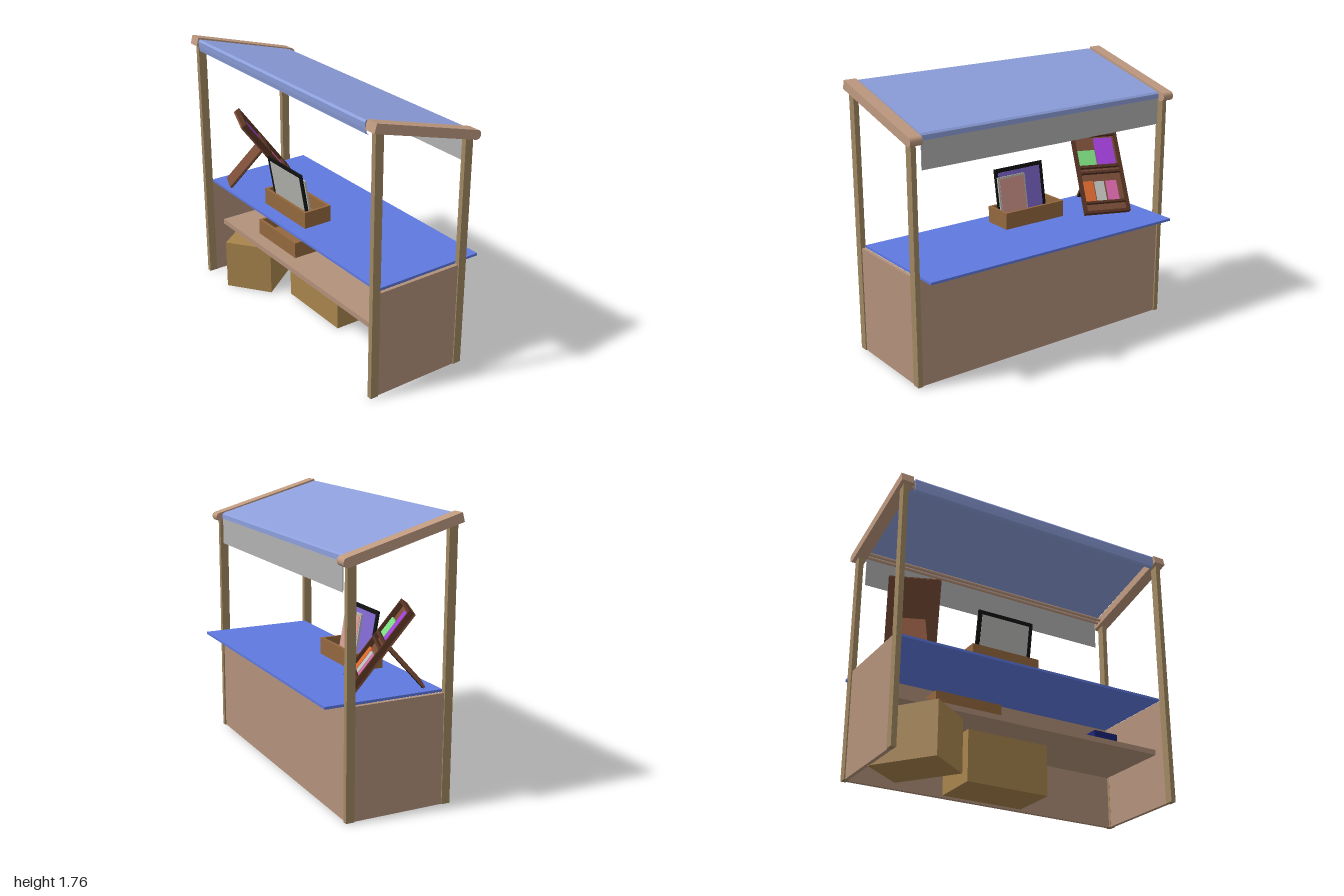
import * as THREE from 'three';

const material = (color, side = THREE.FrontSide) => {
  const m = new THREE.MeshStandardMaterial({ side });
  m.color.set(color);
  return m;
};
const M = {
  panel: material(0xb3927b), post: material(0xa08762), beam: material(0xbf9a80),
  counter: material(0x5f79e0), canopy: material(0x8c9edb, THREE.DoubleSide),
  valance: material(0xb2b2b2, THREE.DoubleSide), card: material(0xa8844c),
  tray: material(0x94683f), rack: material(0x7a4c36), rackDark: material(0x553222),
  black: material(0x111111), grey: material(0xb8b8b4), pink: material(0xd69a90),
  purple: material(0x8068d0), navy: material(0x1c2478),
};

function add(parent, name, geometry, mat, x = 0, y = 0, z = 0) {
  const mesh = new THREE.Mesh(geometry, mat);
  mesh.name = name;
  mesh.position.set(x, y, z);
  parent.add(mesh);
  return mesh;
}

// Box given by its lower and upper limits on each axis
function block(parent, name, mat, [x0, x1], [y0, y1], [z0, z1]) {
  return add(parent, name, new THREE.BoxGeometry(x1 - x0, y1 - y0, z1 - z0), mat,
    (x0 + x1) / 2, (y0 + y1) / 2, (z0 + z1) / 2);
}

function subgroup(parent, name, x = 0, y = 0, z = 0) {
  const g = new THREE.Group();
  g.name = name;
  g.position.set(x, y, z);
  parent.add(g);
  return g;
}

// Open-topped box standing on its origin
function openBox(parent, name, mat, w, h, d, t, x, y, z) {
  const g = subgroup(parent, name, x, y, z);
  block(g, 'base', mat, [-w / 2, w / 2], [0, t], [-d / 2, d / 2]);
  for (const s of [-1, 1]) {
    add(g, 'longWall', new THREE.BoxGeometry(t, h, d), mat, s * (w - t) / 2, h / 2, 0);
    add(g, 'endWall', new THREE.BoxGeometry(w - 2 * t, h, t), mat, 0, h / 2, s * (d - t) / 2);
  }
  return g;
}

function extrudeZ(shape, depth) {
  return new THREE.ExtrudeGeometry(shape, { depth, bevelEnabled: false, curveSegments: 10 })
    .translate(0, 0, -depth / 2);
}

function addFrame(stall) {
  // Sloping roof beam with a rounded front end
  const r = 0.029, beam = new THREE.Shape();
  beam.moveTo(0, -r);
  beam.lineTo(0.755, -r);
  beam.absarc(0.755, 0, r, -Math.PI / 2, Math.PI / 2, false);
  beam.lineTo(0, r);
  beam.closePath();
  for (const s of [-1, 1]) {
    const z = [s * 0.96 - 0.0165, s * 0.96 + 0.0165];
    block(stall, 'backPost', M.post, [-0.4, -0.345], [0.003, 1.7], z);
    block(stall, 'frontPost', M.post, [0.245, 0.3], [0.003, 1.51], z);
    add(stall, 'roofBeam', extrudeZ(beam, 0.082), M.beam, -0.42, 1.73, s * 0.959)
      .rotation.z = -0.269;
    block(stall, 'sidePanel', M.panel, [-0.345, 0.245], [0.003, 0.7], [s * 0.957 - 0.012, s * 0.957 + 0.012]);
  }
  block(stall, 'frontPanel', M.panel, [0.265, 0.29], [0.003, 0.7], [-0.945, 0.945]);
  block(stall, 'shelf', M.panel, [-0.27, 0.265], [0.35, 0.385], [-0.945, 0.945]);
  block(stall, 'counterTop', M.counter, [-0.345, 0.42], [0.7, 0.716], [-0.943, 0.943]);
}

function addCanopy(stall) {
  // Cloth with a short flap over the back edge and a roll at the front
  const outline = [[-0.395, 1.66], [-0.413, 1.67], [-0.418, 1.7], [-0.42, 1.735], [-0.41, 1.748],
    [0.285, 1.561], [0.298, 1.55], [0.299, 1.52], [0.293, 1.52], [0.292, 1.546], [0.283, 1.553],
    [-0.406, 1.738], [-0.412, 1.73], [-0.41, 1.7], [-0.407, 1.676]];
  const cloth = new THREE.Shape(outline.map(([x, y]) => new THREE.Vector2(x, y)));
  add(stall, 'canopy', extrudeZ(cloth, 1.81), M.canopy);
  block(stall, 'valance', M.valance, [0.289, 0.294], [1.347, 1.55], [-0.905, 0.905]);
  const rod = new THREE.CylinderGeometry(0.011, 0.011, 1.86, 12).rotateX(Math.PI / 2);
  for (const [x, y] of [[-0.392, 1.718], [-0.365, 1.711], [0.24, 1.548], [0.272, 1.54]])
    add(stall, 'canopyRod', rod, M.beam, x, y, 0);
}

function addTrayWithPictures(stall) {
  openBox(stall, 'counterTray', M.tray, 0.2, 0.11, 0.47, 0.018, -0.15, 0.716, -0.165);
  // Framed pictures leaning backwards in the tray; local x is their facing side
  const picture = (name, x, z, w, h, rim, frame, face, lean) => {
    const g = subgroup(stall, name, x, 0.736, z);
    g.rotation.z = lean;
    block(g, 'pictureFrame', frame, [-0.006, 0.006], [0, h], [-w / 2, w / 2]);
    block(g, 'pictureFace', face, [0.006, 0.008], [rim, h - rim], [-w / 2 + rim, w / 2 - rim]);
    block(g, 'pictureBack', M.grey, [-0.008, -0.006], [rim, h - rim], [-w / 2 + rim, w / 2 - rim]);
  };
  picture('largePicture', -0.188, -0.165, 0.39, 0.338, 0.026, M.black, M.purple, 0.17);
  picture('smallPicture', -0.166, -0.085, 0.22, 0.288, 0.012, M.grey, M.pink, 0.17);
}

function addRack(stall) {
  // Tilted display rack: local x is width, y runs up the board, z faces out
  const h = 0.575, w = 0.32, d = 0.045;
  const turn = subgroup(stall, 'displayRack', 0.1, 0.718, -0.66);
  turn.rotation.y = 1.19;
  const rack = subgroup(turn, 'rackBoard');
  rack.rotation.x = -0.64;
  block(rack, 'backBoard', M.rack, [-w / 2, w / 2], [0, h], [0, 0.012]);
  for (const s of [-1, 1])
    add(rack, 'sideRail', new THREE.BoxGeometry(0.018, h, d), M.rackDark, s * (w / 2 - 0.009), h / 2, d / 2);
  for (const [y0, y1] of [[0, 0.018], [0.07, 0.085], [0.285, 0.3], [0.325, 0.343], [h - 0.018, h]])
    block(rack, 'crossRail', M.rackDark, [-w / 2 + 0.018, w / 2 - 0.018], [y0, y1], [0.012, d]);
  // Coloured cards: x, bottom, width, height, color
  for (const [x, y, cw, ch, color] of [
    [-0.1, 0.085, 0.075, 0.15, 0xd9682f], [-0.02, 0.085, 0.065, 0.145, 0xbcbcb8],
    [0.065, 0.085, 0.075, 0.145, 0xd765a8], [-0.075, 0.343, 0.125, 0.115, 0x7bdc80],
    [0.06, 0.343, 0.13, 0.2, 0xa23fdc]])
    block(rack, 'card', material(color), [x - cw / 2, x + cw / 2], [y, y + ch], [0.012, 0.026]);
  // Rear prop, dark on the inner side
  const prop = subgroup(turn, 'rackProp', 0, 0.13, -0.305);
  prop.rotation.x = 0.724;
  add(prop, 'propBoard', new THREE.BoxGeometry(0.16, 0.34, 0.014), M.rack);
  add(prop, 'propLining', new THREE.BoxGeometry(0.15, 0.33, 0.006), M.black, 0, 0, 0.009);
}

function addStorage(stall) {
  // Cartons on the floor and goods on the shelf
  block(stall, 'largeCarton', M.card, [-0.1, 0.22], [0, 0.33], [-0.34, 0.22]);
  const carton = block(stall, 'turnedCarton', M.card, [-0.345, 0.095], [0, 0.34], [-0.86, -0.53]);
  carton.rotation.y = 0.64;
  openBox(stall, 'shelfTray', M.tray, 0.2, 0.11, 0.45, 0.018, -0.08, 0.385, -0.38);
  block(stall, 'shelfBox', M.navy, [-0.06, 0.12], [0.385, 0.53], [0.62, 0.8]);
}

export function createModel() {
  const stall = new THREE.Group();
  stall.name = 'marketStall';
  addFrame(stall);
  addCanopy(stall);
  addTrayWithPictures(stall);
  addRack(stall);
  addStorage(stall);
  return stall;
}
